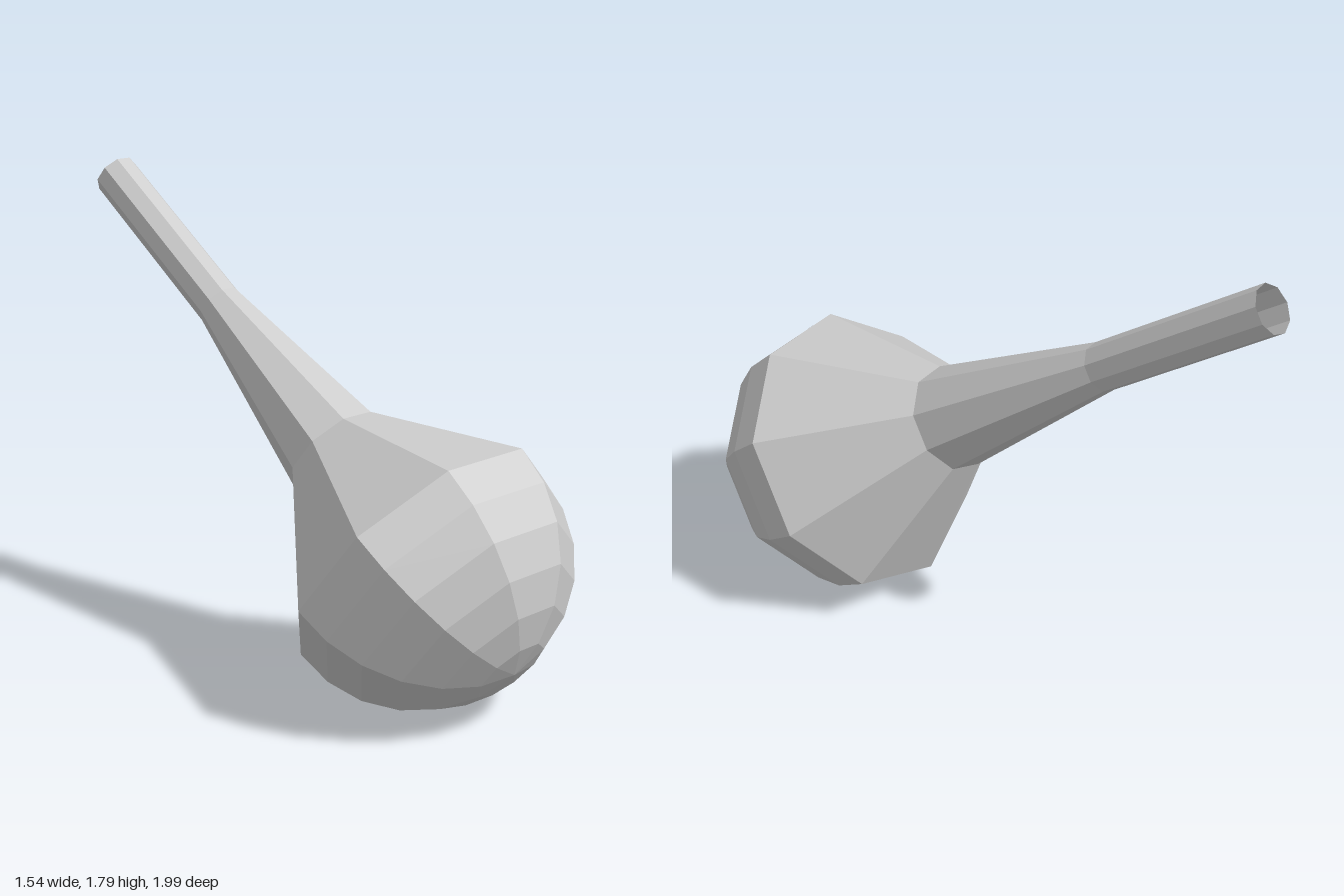
import * as THREE from 'three';

export function createModel() {
  const group = new THREE.Group();
  const material = new THREE.MeshStandardMaterial({
    color: 0xcccccc, flatShading: true, side: THREE.DoubleSide,
  });
  const sides = 9;
  const radius = 0.547;

  // tilted frame: local y runs up the handle, local z points to the lowest side
  const up = new THREE.Vector3(-0.453, 0.577, -0.679).normalize();
  const out = new THREE.Vector3(-0.32, -0.816, -0.48).normalize();
  const side = new THREE.Vector3().crossVectors(up, out).normalize();
  out.crossVectors(side, up);
  const tilted = new THREE.Group();
  tilted.name = 'tiltedBody';
  tilted.quaternion.setFromRotationMatrix(new THREE.Matrix4().makeBasis(side, up, out));
  tilted.position.set(0.23, 0.549, 0.45);
  group.add(tilted);

  const turned = (name, profile) => {
    const points = profile.map(([r, y]) => new THREE.Vector2(r, y));
    const mesh = new THREE.Mesh(new THREE.LatheGeometry(points, sides), material);
    mesh.name = name;
    tilted.add(mesh);
  };

  // round bowl, from the pole up to the widest ring
  const bowl = [];
  for (let i = 6; i >= 0; i--) {
    const a = THREE.MathUtils.degToRad(i * 15);
    bowl.push([i === 6 ? 0 : radius * Math.cos(a), -radius * Math.sin(a)]);
  }
  turned('bowl', bowl);

  // cone shoulder, then the flared neck and the open-ended handle
  turned('shoulder', [[radius, 0], [0.2, 0.52]]);
  turned('neck', [[0.2, 0.52], [0.09, 1.29]]);
  turned('handle', [[0.09, 1.29], [0.088, 2.04]]);

  return group;
}
